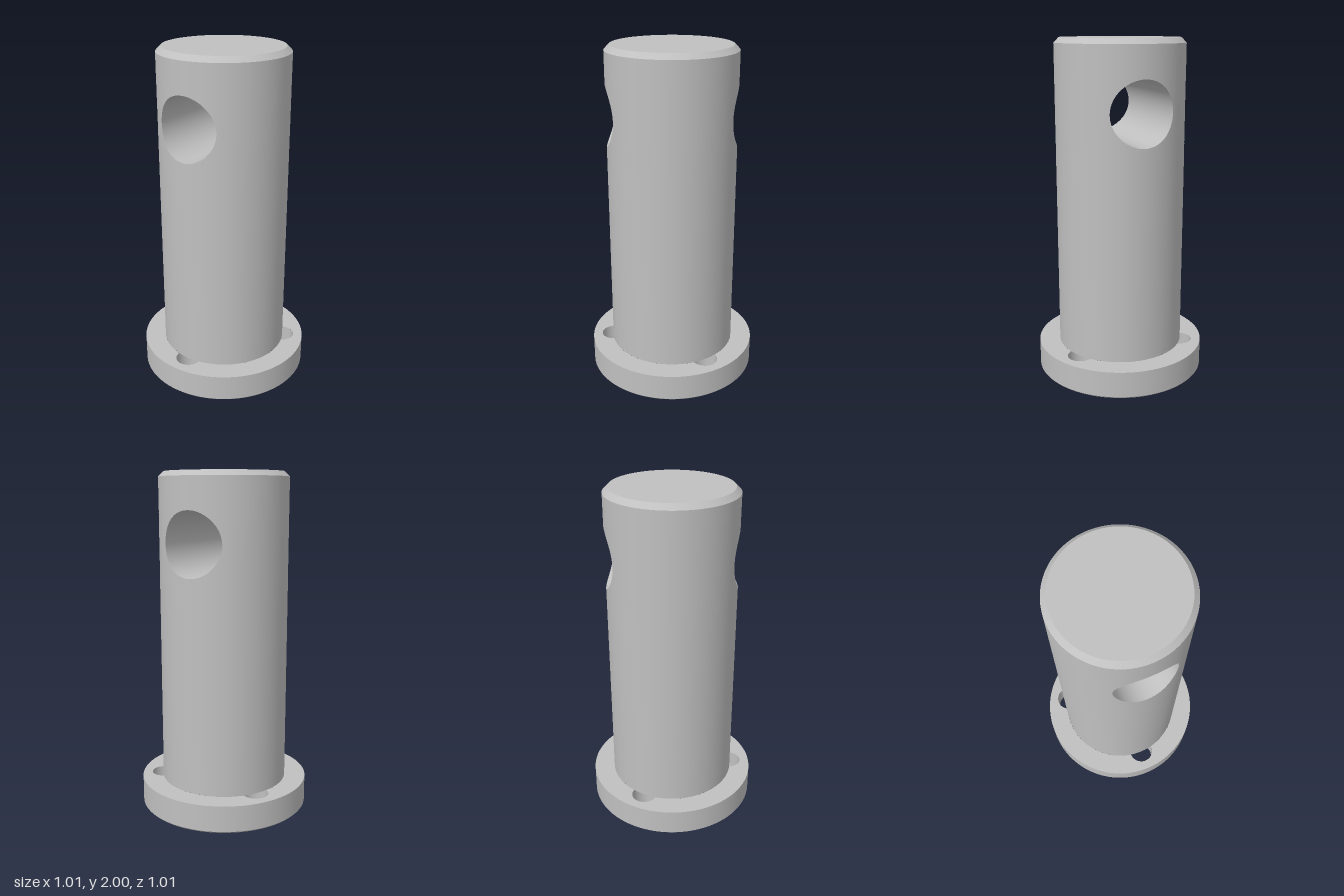
import * as THREE from 'three';

const SHAFT_R = 0.378, TOP = 2, CHAMFER = 0.03;
const FLANGE_R = 0.504, FLANGE_H = 0.165, EDGE = 0.01;
const BORE_R = 0.185, BORE_Y = 1.603, BAND = 0.25;   // cross bore and the shaft band around it
const BOLT_R = 0.076, BOLT_D = 0.373;                // bolt holes in the flange
const SEG = 96;

// Grid of (n + 1) x (m + 1) points; fn(i, j) returns [position, normal]
function grid(n, m, fn) {
  const pos = [], nor = [], idx = [];
  for (let i = 0; i <= n; i++) {
    for (let j = 0; j <= m; j++) {
      const [p, q] = fn(i, j);
      pos.push(...p);
      nor.push(...q);
      if (i < n && j < m) {
        const a = i * (m + 1) + j, d = a + m + 1;
        idx.push(a, a + 1, d + 1, a, d + 1, d);
      }
    }
  }
  const g = new THREE.BufferGeometry();
  g.setAttribute('position', new THREE.Float32BufferAttribute(pos, 3));
  g.setAttribute('normal', new THREE.Float32BufferAttribute(nor, 3));
  g.setIndex(idx);
  return g;
}

// Outline of the band around the bore, as [angle, height] counterclockwise
function bandOutline() {
  const pts = [], w = Math.PI / 2, long = SEG / 2, short = 12;
  for (let k = 0; k < short; k++) pts.push([w, BAND * (2 * k / short - 1)]);
  for (let k = 0; k < long; k++) pts.push([w * (1 - 2 * k / long), BAND]);
  for (let k = 0; k < short; k++) pts.push([-w, BAND * (1 - 2 * k / short)]);
  for (let k = 0; k < long; k++) pts.push([w * (2 * k / long - 1), -BAND]);
  pts.push(pts[0]);
  return pts;
}

export function createModel() {
  const model = new THREE.Group();
  model.name = 'flangedPin';
  const steel = new THREE.MeshStandardMaterial({ color: 0xc0c0c0 });
  steel.name = 'grey steel';

  const add = (parent, name, geometry) => {
    const mesh = new THREE.Mesh(geometry, steel);
    mesh.name = name;
    parent.add(mesh);
    return mesh;
  };
  // Turned wall from (r0, y0) to (r1, y1); downward order faces inward
  const wall = (r0, y0, r1, y1, seg = SEG) =>
    new THREE.LatheGeometry([new THREE.Vector2(r0, y0), new THREE.Vector2(r1, y1)], seg);
  const flat = (shape, y, up) =>
    new THREE.ShapeGeometry(shape, SEG / 2).rotateX(up ? -Math.PI / 2 : Math.PI / 2).translate(0, y, 0);
  const disc = (r) => new THREE.Shape().absarc(0, 0, r, 0, Math.PI * 2);

  // Shaft: plain walls below and above the bore, chamfer and end face
  const shaft = new THREE.Group();
  shaft.name = 'shaft';
  model.add(shaft);
  add(shaft, 'lowerWall', wall(SHAFT_R, FLANGE_H, SHAFT_R, BORE_Y - BAND));
  add(shaft, 'upperWall', wall(SHAFT_R, BORE_Y + BAND, SHAFT_R, TOP - CHAMFER));
  add(shaft, 'topChamfer', wall(SHAFT_R, TOP - CHAMFER, SHAFT_R - CHAMFER, TOP));
  add(shaft, 'endFace', flat(disc(SHAFT_R - CHAMFER), TOP, true));

  // Shaft band pierced by the cross bore, one half for each side
  const outline = bandOutline();
  const holeAngles = outline.map(([a, h]) => Math.atan2(h, a * SHAFT_R));
  const rings = 8, n = outline.length - 1;
  const band = grid(n, rings, (i, j) => {
    const t = holeAngles[i], f = j / rings;
    const a0 = Math.asin(BORE_R * Math.cos(t) / SHAFT_R), h0 = BORE_R * Math.sin(t);
    const a = a0 + (outline[i][0] - a0) * f, h = h0 + (outline[i][1] - h0) * f;
    const c = Math.cos(a), s = -Math.sin(a);
    return [[SHAFT_R * c, BORE_Y + h, SHAFT_R * s], [c, 0, s]];
  });
  add(shaft, 'leftBoredWall', band);
  add(shaft, 'rightBoredWall', band).rotation.y = Math.PI;

  // Inside of the cross bore, ending on the curved shaft surface
  add(shaft, 'crossBore', grid(n, 1, (i, j) => {
    const t = holeAngles[i], z = -BORE_R * Math.cos(t);
    const x = Math.sqrt(SHAFT_R ** 2 - z * z) * (j ? 1 : -1);
    return [[x, BORE_Y + BORE_R * Math.sin(t), z], [0, -Math.sin(t), Math.cos(t)]];
  }));

  // Flange rim and bottom edge
  const flange = new THREE.Group();
  flange.name = 'flange';
  model.add(flange);
  add(flange, 'rim', wall(FLANGE_R, EDGE, FLANGE_R, FLANGE_H));
  add(flange, 'bottomChamfer', wall(FLANGE_R - EDGE, 0, FLANGE_R, EDGE));

  // Bolt holes, partly covered by the shaft
  const a = Math.acos((SHAFT_R ** 2 + BOLT_D ** 2 - BOLT_R ** 2) / (2 * SHAFT_R * BOLT_D));
  const b = Math.acos((BOLT_D ** 2 + BOLT_R ** 2 - SHAFT_R ** 2) / (2 * BOLT_D * BOLT_R));
  const topFace = disc(FLANGE_R), bottomFace = disc(FLANGE_R - EDGE), inner = new THREE.Path();
  const step = Math.PI * 2 / 3;
  for (let k = 0; k < 3; k++) {
    const p = -Math.PI / 3 + k * step;
    const x = BOLT_D * Math.cos(p), y = BOLT_D * Math.sin(p);
    inner.absarc(x, y, BOLT_R, p - Math.PI + b, p + Math.PI - b);
    inner.absarc(0, 0, SHAFT_R, p + a, p + step - a);
    bottomFace.holes.push(new THREE.Path().absarc(x, y, BOLT_R, 0, Math.PI * 2));
    add(flange, 'boltHole', wall(BOLT_R, FLANGE_H, BOLT_R, 0, 48)).position.set(x, 0, y);
    // Underside of the shaft seen through the hole
    const lens = new THREE.Shape();
    lens.absarc(0, 0, SHAFT_R, p - a, p + a);
    lens.absarc(x, y, BOLT_R, p + Math.PI - b, p + Math.PI + b);
    add(shaft, 'shaftUnderside', flat(lens, FLANGE_H, false));
  }
  topFace.holes.push(inner);
  add(flange, 'topFace', flat(topFace, FLANGE_H, true));
  add(flange, 'bottomFace', flat(bottomFace, 0, false));

  return model;
}
